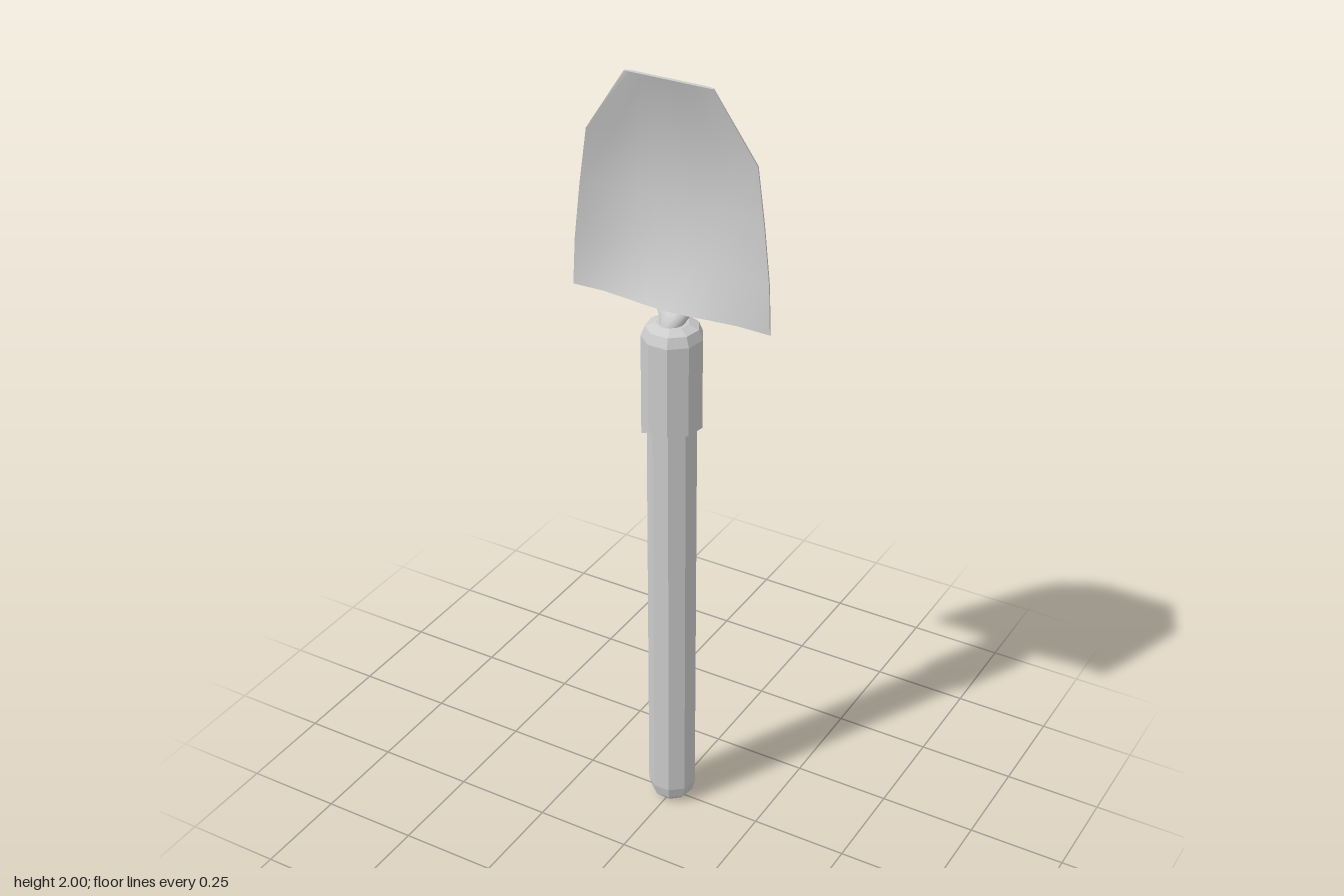
import * as THREE from 'three';
import { toCreasedNormals } from 'three/addons/utils/BufferGeometryUtils.js';

const SIDES = 9;
const flatMat = new THREE.MeshStandardMaterial({ color: 0xcccccc, flatShading: true });
const smoothMat = new THREE.MeshStandardMaterial({ color: 0xcccccc, side: THREE.DoubleSide });

// Faceted turned part with one corner facing the back
function turned(name, profile) {
  const points = profile.map(([r, y]) => new THREE.Vector2(r, y));
  const mesh = new THREE.Mesh(new THREE.LatheGeometry(points, SIDES, Math.PI), flatMat);
  mesh.name = name;
  return mesh;
}

// Skin closed rings stacked upwards; each ring runs along the front, then back again
function loft(name, rings, crease) {
  const n = rings[0].length;
  const index = [];
  const quad = (a, b, c, d) => index.push(a, b, c, a, c, d);
  for (let i = 0; i < rings.length - 1; i++) {
    for (let j = 0; j < n; j++) {
      const k = (j + 1) % n;
      quad(i * n + j, i * n + k, (i + 1) * n + k, (i + 1) * n + j);
    }
  }
  const top = (rings.length - 1) * n;
  for (let j = 0; j < n / 2 - 1; j++) {
    quad(j, n - 1 - j, n - 2 - j, j + 1);
    quad(top + j, top + j + 1, top + n - 2 - j, top + n - 1 - j);
  }
  const geo = new THREE.BufferGeometry();
  geo.setAttribute('position', new THREE.Float32BufferAttribute(rings.flat(2), 3));
  geo.setIndex(index);
  const mesh = new THREE.Mesh(toCreasedNormals(geo, crease), smoothMat);
  mesh.name = name;
  return mesh;
}

// Dished blade, thick at the foot: y, then [x, front z, back z] from the centre to the edge
function makeBlade() {
  const rows = [
    [1.44, [0, 0.03, -0.042], [0.06, 0.026, -0.042], [0.11, 0.019, -0.041], [0.18, 0.012, -0.036], [0.262, 0.015, 0.011]],
    [1.56, [0, -0.02, -0.058], [0.06, -0.02, -0.058], [0.11, -0.017, -0.057], [0.175, -0.01, -0.05], [0.256, 0.013, 0.009]],
    [1.7, [0, -0.03, -0.062], [0.06, -0.029, -0.062], [0.11, -0.026, -0.06], [0.168, -0.016, -0.053], [0.24, 0.012, 0.008]],
    [1.84, [0, -0.032, -0.064], [0.06, -0.031, -0.064], [0.11, -0.028, -0.062], [0.16, -0.018, -0.057], [0.22, 0.011, 0.007]],
    [2.0, [0, 0.021, 0.011], [0.03, 0.021, 0.011], [0.06, 0.021, 0.011], [0.095, 0.021, 0.011], [0.112, 0.021, 0.015]],
  ];
  const rings = rows.map(([y, ...half]) => {
    const mirrored = half.slice(1).reverse().map(([x, zf, zb]) => [-x, zf, zb]);
    const full = [...mirrored, ...half];
    const front = full.map(([x, zf]) => [x, y, zf]);
    const back = full.map(([x, , zb]) => [x, y, zb]).reverse();
    return [...front, ...back];
  });
  return loft('blade', rings, 0.8);
}

// Neck flaring into the underside of the blade
function makeNeck() {
  const n = 14;
  const rings = [
    [1.38, 0.03, 0.033, 0.003],
    [1.4, 0.03, 0.032, 0.002],
    [1.44, 0.052, 0.024, -0.014],
    [1.46, 0.052, 0.016, -0.024],
  ].map(([y, rx, rz, z]) => Array.from({ length: n }, (_, j) => {
    const a = -Math.PI / 2 + ((j + 0.5) / n) * Math.PI * 2;
    return [rx * Math.sin(a), y, z + rz * Math.cos(a)];
  }));
  return loft('neck', rings, 0.9);
}

export function createModel() {
  const group = new THREE.Group();

  group.add(turned('handle', [
    [0, 0], [0.04, 0.004], [0.055, 0.02], [0.062, 0.05], [0.062, 1.18], [0, 1.18],
  ]));

  const collar = turned('collar', [
    [0.058, 1.135], [0.075, 1.13], [0.075, 1.365], [0.065, 1.39], [0.04, 1.4], [0, 1.4],
  ]);
  // Lower lip dips on the right front corner
  const pos = collar.geometry.attributes.position;
  for (let i = 0; i < pos.count; i++) {
    if (pos.getY(i) < 1.2 && pos.getX(i) < -0.05 && pos.getZ(i) > 0) pos.setY(i, pos.getY(i) - 0.03);
  }
  group.add(collar);

  group.add(makeNeck(), makeBlade());
  return group;
}
